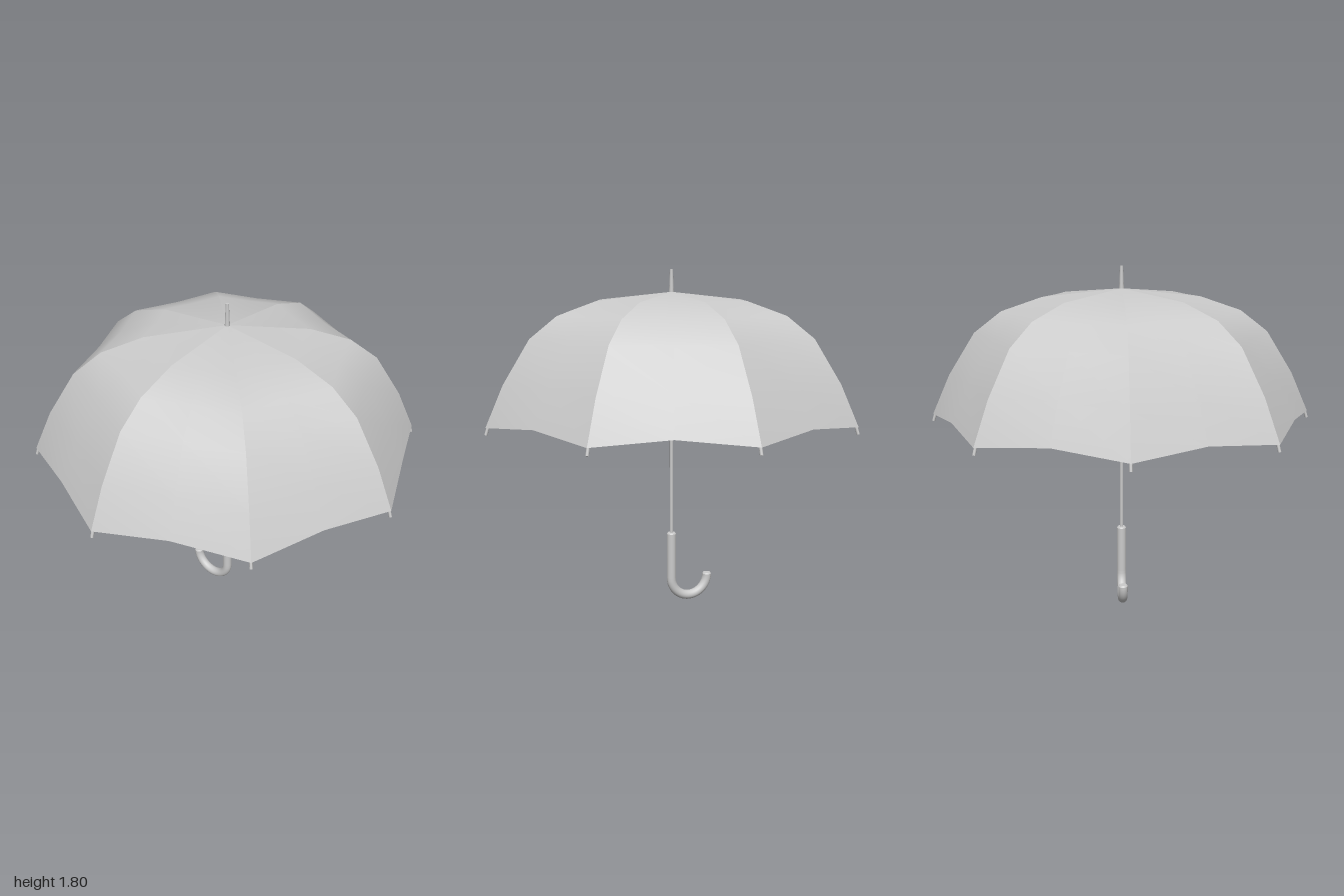
import * as THREE from 'three';

const RIBS = 8;
const STEP = (Math.PI * 2) / RIBS;

// Canopy rib profile: radius, height, inward sag of the panel middle, lift of the panel middle
const PROFILE = [
  [0, 1.685, 1, 0],
  [0.41, 1.642, 0.98, 0],
  [0.62, 1.57, 0.975, 0],
  [0.762, 1.46, 0.98, 0],
  [0.9, 1.24, 0.99, 0.012],
  [0.993, 1.032, 1, 0.034],
];

// One fabric gore between two neighbouring ribs
function panelGeometry(start) {
  const pos = [];
  const index = [];
  for (const [r, y, sag, lift] of PROFILE) {
    for (let j = 0; j < 3; j++) {
      const a = start + (j * STEP) / 2;
      const mid = j === 1;
      const rr = mid ? r * Math.cos(STEP / 2) * sag : r;
      pos.push(rr * Math.cos(a), y + (mid ? lift : 0), rr * Math.sin(a));
    }
  }
  for (let i = 0; i < PROFILE.length - 1; i++) {
    for (let j = 0; j < 2; j++) {
      const p = i * 3 + j;
      if (i > 0) index.push(p, p + 1, p + 3);
      index.push(p + 1, p + 4, p + 3);
    }
  }
  const geo = new THREE.BufferGeometry();
  geo.setAttribute('position', new THREE.Float32BufferAttribute(pos, 3));
  geo.setIndex(index);
  geo.computeVertexNormals();
  return geo;
}

export function createModel() {
  const group = new THREE.Group();
  const solid = new THREE.MeshStandardMaterial({ color: 0xcccccc });
  const fabric = new THREE.MeshStandardMaterial({ color: 0xcccccc, side: THREE.DoubleSide });

  const add = (name, geo, parent = group, mat = solid) => {
    const mesh = new THREE.Mesh(geo, mat);
    mesh.name = name;
    parent.add(mesh);
    return mesh;
  };

  // Canopy panels and the small rib tips at their corners
  const canopy = new THREE.Group();
  canopy.name = 'canopy';
  const tips = new THREE.Group();
  tips.name = 'ribTips';
  group.add(canopy, tips);
  const tipTop = new THREE.Vector2(0.978, 1.04);
  const tipEnd = new THREE.Vector2(0.992, 0.996);
  const tipDir = tipEnd.clone().sub(tipTop);
  for (let k = 0; k < RIBS; k++) {
    add('canopyPanel', panelGeometry(k * STEP), canopy, fabric);

    const arm = new THREE.Group();
    arm.name = 'ribTip';
    arm.rotation.y = k * STEP;
    tips.add(arm);
    const tip = add('tip', new THREE.CylinderGeometry(0.008, 0.008, tipDir.length(), 10), arm);
    tip.position.set((tipTop.x + tipEnd.x) / 2, (tipTop.y + tipEnd.y) / 2, 0);
    tip.rotation.z = Math.atan2(tipDir.x, -tipDir.y);
  }

  // Shaft
  const shaft = add('shaft', new THREE.CylinderGeometry(0.009, 0.009, 1.31, 16));
  shaft.position.y = 0.38 + 1.31 / 2;

  // Ferrule on top of the canopy
  const ferrule = add('ferrule', new THREE.CylinderGeometry(0.008, 0.013, 0.122, 16));
  ferrule.position.y = 1.739;

  // Crook handle: straight grip followed by a half-circle hook
  const R = 0.107, T = 0.025, Y = R + T;
  const path = new THREE.CurvePath();
  path.add(new THREE.LineCurve3(new THREE.Vector3(0, 0.385, 0), new THREE.Vector3(0, Y, 0)));
  const arc = [];
  for (let i = 0; i <= 24; i++) {
    const a = (-Math.PI * i) / 24;
    arc.push(new THREE.Vector3(-R + R * Math.cos(a), Y + R * Math.sin(a), 0));
  }
  path.add(new THREE.CatmullRomCurve3(arc));
  const handle = new THREE.Group();
  handle.name = 'handle';
  group.add(handle);
  add('crook', new THREE.TubeGeometry(path, 72, T, 20), handle);

  // Bevelled caps closing both handle ends
  for (const [x, y] of [[0, 0.385], [-2 * R, Y]]) {
    const cap = add('handleCap', new THREE.CylinderGeometry(0.02, T, 0.007, 20), handle);
    cap.position.set(x, y + 0.0035, 0);
  }
  return group;
}
